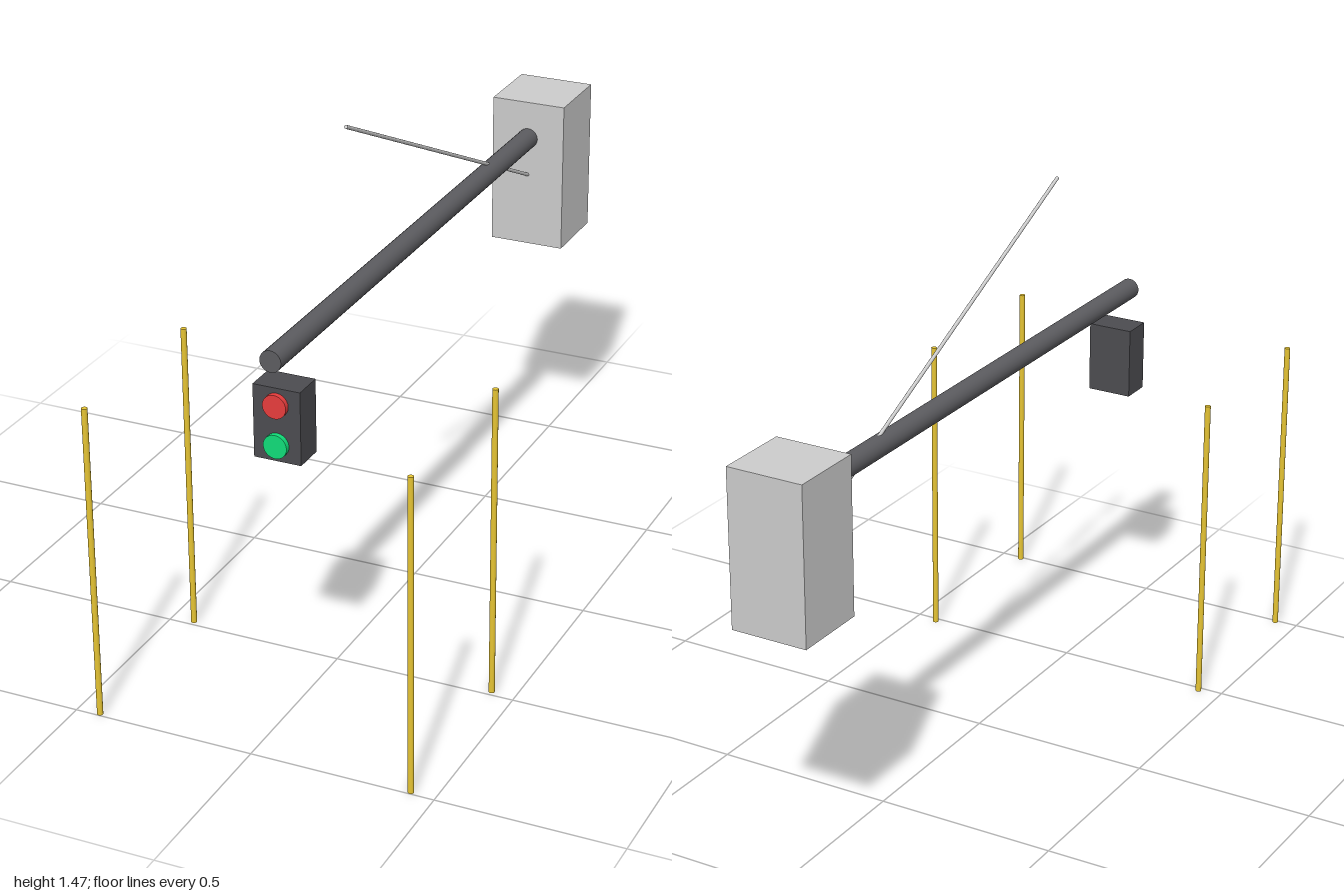
import * as THREE from 'three';

const material = (color) => new THREE.MeshStandardMaterial({ color });

export function createModel() {
  const model = new THREE.Group();
  model.name = 'barrierWithSignal';
  const grey = material(0xcccccc);
  const dark = material(0x5c5c60);
  const yellow = material(0xe6c433);

  const add = (name, geometry, mat, x, y, z) => {
    const mesh = new THREE.Mesh(geometry, mat);
    mesh.name = name;
    mesh.position.set(x, y, z);
    model.add(mesh);
    return mesh;
  };

  // Round bar between two points
  const bar = (name, from, to, radius, mat, sides) => {
    const a = new THREE.Vector3(...from);
    const b = new THREE.Vector3(...to);
    const dir = b.clone().sub(a);
    const geometry = new THREE.CylinderGeometry(radius, radius, dir.length(), sides);
    const mid = a.add(b).multiplyScalar(0.5);
    const mesh = add(name, geometry, mat, mid.x, mid.y, mid.z);
    mesh.quaternion.setFromUnitVectors(new THREE.Vector3(0, 1, 0), dir.normalize());
    return mesh;
  };

  // Counterweight block at the back, with the long boom reaching forward
  add('counterweight', new THREE.BoxGeometry(0.216, 0.432, 0.213), grey, 0, 0.908, -0.893);
  bar('boom', [0, 1.016, -0.788], [0, 1.016, 0.846], 0.029, dark, 24);

  // Thin slanted rod crossing the boom
  bar('slantedRod', [0, 0.903, -0.79], [0, 1.466, 0.413], 0.005, grey, 12);

  // Signal housing under the tip, with two lamps
  add('signalHousing', new THREE.BoxGeometry(0.128, 0.198, 0.086), material(0x4c4c50), 0, 0.834, 0.775);
  bar('redLamp', [0, 0.888, 0.8], [0, 0.888, 0.832], 0.032, material(0xe63c3c), 24);
  bar('greenLamp', [0, 0.78, 0.8], [0, 0.78, 0.832], 0.032, material(0x10dc78), 24);

  // Four marker poles
  for (const x of [-0.435, 0.435]) {
    for (const z of [0.484, 0.992]) {
      bar('markerPole', [x, 0, z], [x, 0.87, z], 0.008, yellow, 12);
    }
  }

  return model;
}
